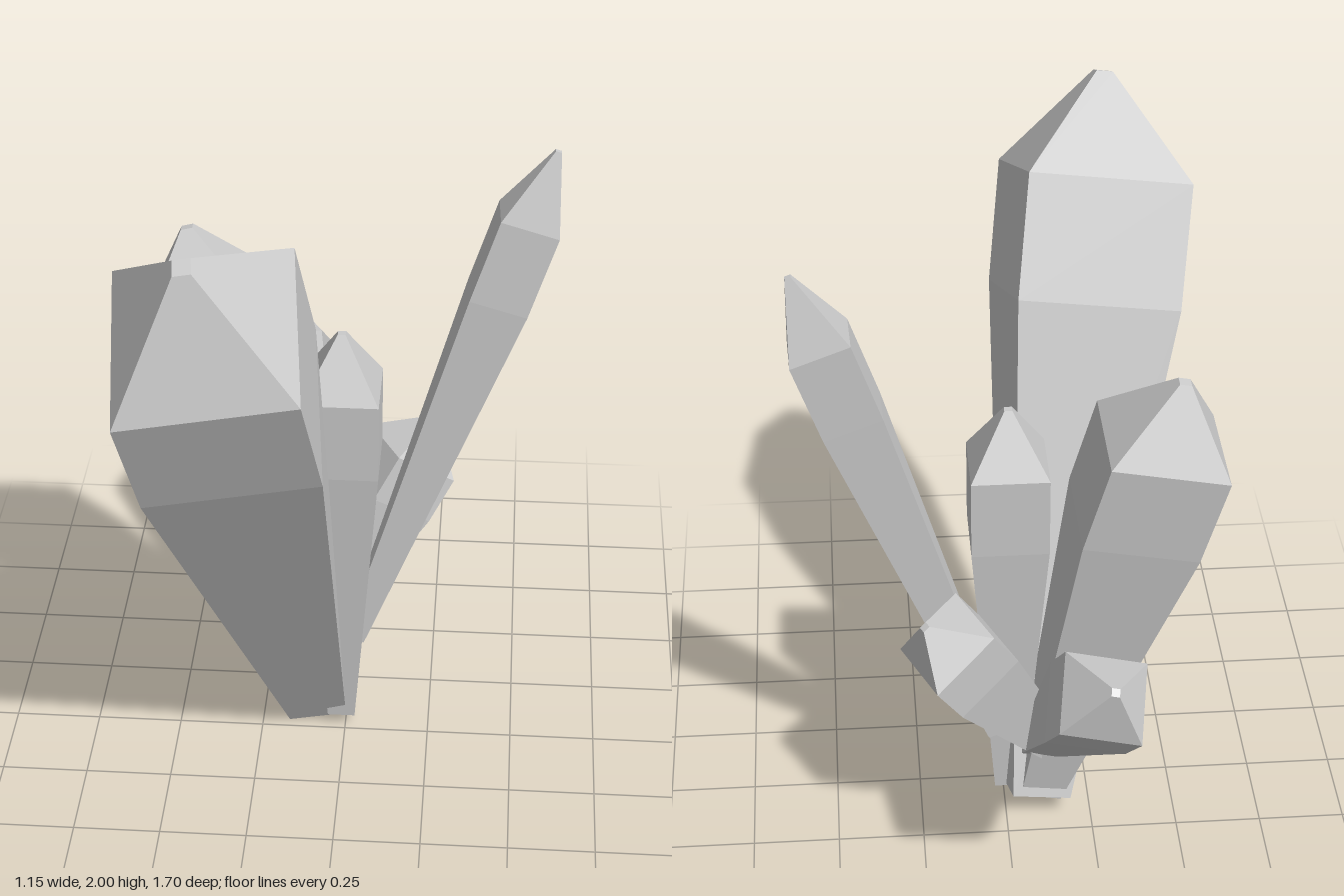
import * as THREE from 'three';

const BASE = 0.37, TIP = 0.1; // cross-section scale at the root and the tip

// Each crystal: half-edge vectors u and v of its full section, then the
// centres of its root, bend, shoulder and tip.
const CRYSTALS = {
  largeFrontCrystal: {
    u: [0.23, 0.035, -0.013], v: [0.026, -0.095, 0.226],
    centres: [[-0.094, 0.053, -0.118], [-0.265, 1.41, 0.465], [-0.305, 1.73, 0.61], [-0.338, 1.99, 0.722]],
  },
  tallRightCrystal: {
    u: [0.161, 0.037, -0.01], v: [0.004, 0.014, 0.15],
    centres: [[-0.1, 0.08, -0.13], [-0.346, 1.09, -0.21], [-0.414, 1.36, -0.24], [-0.46, 1.565, -0.265]],
  },
  uprightCentreCrystal: {
    u: [0.109, 0, 0], v: [0, 0, 0.108],
    centres: [[-0.012, 0.045, -0.052], [-0.012, 0.95, -0.052], [-0.012, 1.19, -0.052], [-0.012, 1.365, -0.053]],
  },
  slenderLeftCrystal: {
    u: [0.08, -0.027, -0.006], v: [0.003, 0.002, 0.069],
    centres: [[0.02, 0.28, -0.105], [0.412, 1.43, -0.16], [0.49, 1.668, -0.177], [0.56, 1.875, -0.184]],
  },
  shortBackLeftCrystal: {
    u: [0.08, -0.063, -0.04], v: [0.047, 0.006, 0.098],
    centres: [[-0.187, 0.17, -0.1], [0.107, 0.672, -0.295], [0.177, 0.791, -0.34], [0.238, 0.885, -0.383]],
  },
  leaningBackCrystal: {
    u: [0.108, 0.026, 0], v: [-0.014, 0.072, 0.08],
    centres: [[-0.09, 0.23, -0.115], [-0.185, 0.779, -0.626], [-0.211, 0.909, -0.748], [-0.23, 1.005, -0.842]],
  },
};

// Four-sided loft through the root, bend, shoulder and tip sections
function crystalGeometry({ u, v, centres }) {
  const U = new THREE.Vector3(...u), V = new THREE.Vector3(...v);
  const scales = [BASE, 1, 1, TIP];
  const corners = [[-1, 1], [1, 1], [1, -1], [-1, -1]];
  const rings = centres.map((c, i) => corners.map(([a, b]) =>
    new THREE.Vector3(...c).addScaledVector(U, a * scales[i]).addScaledVector(V, b * scales[i])));

  const points = [];
  const quad = (a, b, c, d) => points.push(a, b, c, a, c, d);
  for (let i = 0; i < rings.length - 1; i++) {
    for (let j = 0; j < 4; j++) {
      const k = (j + 1) % 4;
      quad(rings[i][j], rings[i][k], rings[i + 1][k], rings[i + 1][j]);
    }
  }
  quad(...[...rings[0]].reverse()); // root cap
  quad(...rings[rings.length - 1]); // blunt tip

  const geometry = new THREE.BufferGeometry().setFromPoints(points);
  geometry.computeVertexNormals();
  return geometry;
}

export function createModel() {
  const group = new THREE.Group();
  group.name = 'crystalCluster';
  const material = new THREE.MeshStandardMaterial({ color: 0xcccccc, flatShading: true });
  for (const [name, spec] of Object.entries(CRYSTALS)) {
    const mesh = new THREE.Mesh(crystalGeometry(spec), material);
    mesh.name = name;
    group.add(mesh);
  }
  return group;
}
